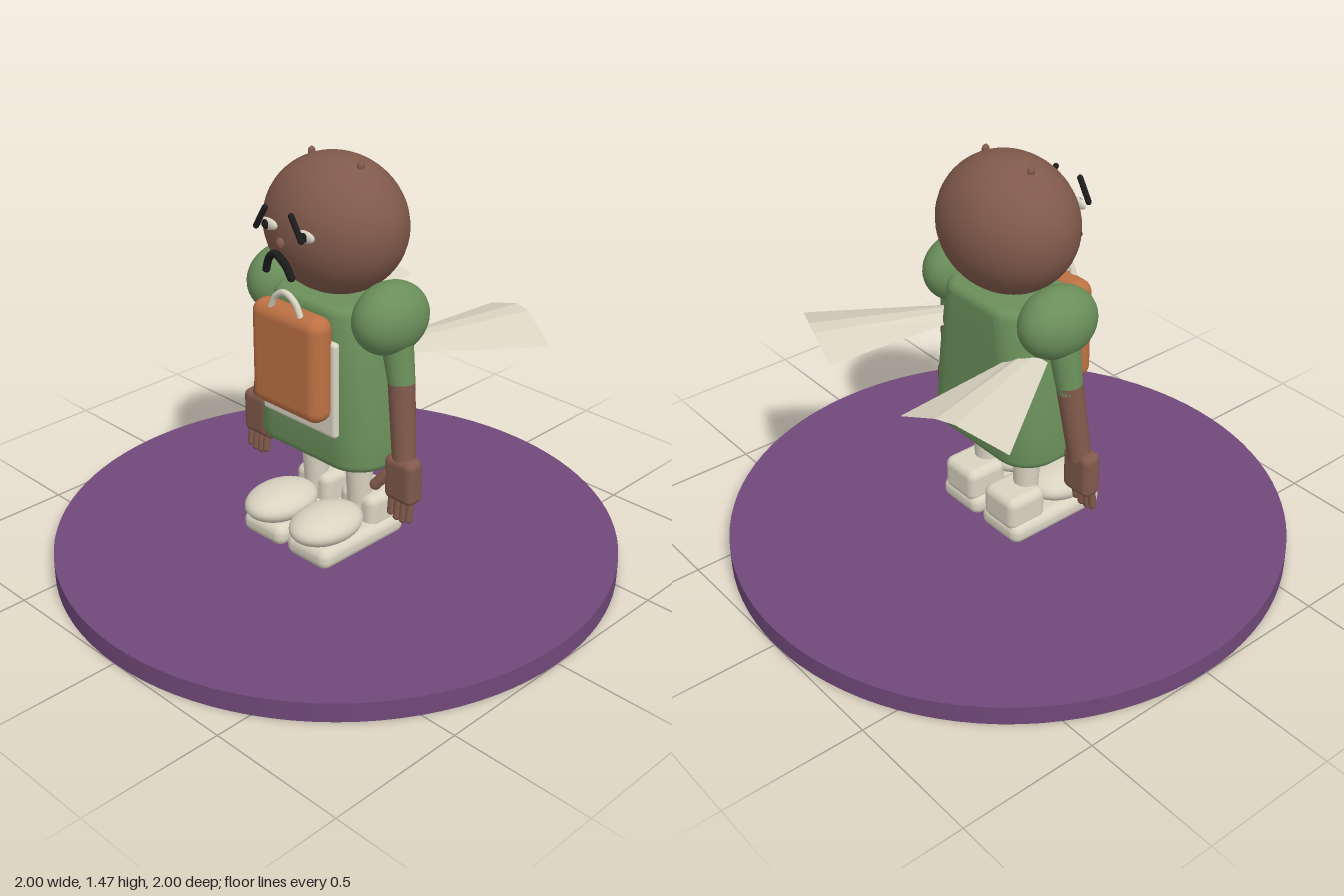
import * as THREE from 'three';
import { RoundedBoxGeometry } from 'three/addons/geometries/RoundedBoxGeometry.js';
import { toCreasedNormals } from 'three/addons/utils/BufferGeometryUtils.js';

const mat = (name, color, side = THREE.FrontSide) => {
  const m = new THREE.MeshStandardMaterial({ color, side });
  m.name = name;
  return m;
};

export function createModel() {
  const model = new THREE.Group();
  model.name = 'winged figure on stand';
  const brown = mat('brown skin', 0x80594b);
  const green = mat('green cloth', 0x6a8f5a);
  const cream = mat('cream', 0xd9d3c1, THREE.DoubleSide);
  const orange = mat('orange bag', 0xbd7143);
  const black = mat('black', 0x1c1b1d);
  const purple = mat('purple stand', 0x704879);

  const V = (x, y, z) => new THREE.Vector3(x, y, z);
  const add = (name, geo, material, x = 0, y = 0, z = 0) => {
    const m = new THREE.Mesh(geo, material);
    m.name = name;
    m.position.set(x, y, z);
    model.add(m);
    return m;
  };
  const ball = (name, material, x, y, z, rx, ry, rz) => {
    const m = add(name, new THREE.SphereGeometry(1, 40, 28), material, x, y, z);
    m.scale.set(rx, ry, rz);
    return m;
  };
  const box = (name, material, x, y, z, w, h, d, r) =>
    add(name, new RoundedBoxGeometry(w, h, d, 5, r), material, x, y, z);
  // tapered limb between two points
  const limb = (name, material, a, b, ra, rb) => {
    const dir = b.clone().sub(a);
    const mid = a.clone().add(b).multiplyScalar(0.5);
    const m = add(name, new THREE.CylinderGeometry(rb, ra, dir.length(), 24), material, mid.x, mid.y, mid.z);
    m.quaternion.setFromUnitVectors(V(0, 1, 0), dir.normalize());
    return m;
  };
  const capsule = (name, material, a, b, r) => {
    const dir = b.clone().sub(a);
    const mid = a.clone().add(b).multiplyScalar(0.5);
    const m = add(name, new THREE.CapsuleGeometry(r, dir.length(), 6, 14), material, mid.x, mid.y, mid.z);
    m.quaternion.setFromUnitVectors(V(0, 1, 0), dir.normalize());
    return m;
  };
  const tube = (name, material, points, r) =>
    add(name, new THREE.TubeGeometry(new THREE.CatmullRomCurve3(points), 28, r, 10), material);

  // Stand
  add('stand', new THREE.CylinderGeometry(1, 1, 0.07, 96), purple, 0, 0.035, 0);

  // Tunic: rounded plan raised with soft rims, narrowing upward
  const w = 0.245, d = 0.135, r = 0.1;
  const plan = new THREE.Shape();
  plan.absarc(w - r, d - r, r, 0, Math.PI / 2);
  plan.absarc(r - w, d - r, r, Math.PI / 2, Math.PI);
  plan.absarc(r - w, r - d, r, Math.PI, Math.PI * 1.5);
  plan.absarc(w - r, r - d, r, Math.PI * 1.5, Math.PI * 2);
  let tunic = new THREE.ExtrudeGeometry(plan, {
    depth: 0.52, bevelSize: 0.03, bevelThickness: 0.03, bevelSegments: 5, curveSegments: 10, steps: 6,
  });
  tunic.rotateX(-Math.PI / 2);
  tunic.translate(0, 0.46, 0);
  const p = tunic.attributes.position;
  for (let i = 0; i < p.count; i++) {
    const t = THREE.MathUtils.clamp((p.getY(i) - 0.46) / 0.55, 0, 1);
    p.setX(i, p.getX(i) * (1 - 0.1 * t - 0.2 * t * t));
    p.setZ(i, p.getZ(i) * (1 - 0.06 * t));
  }
  tunic = toCreasedNormals(tunic, 0.7);
  add('tunic', tunic, green);

  // Head and face
  ball('head', brown, 0, 1.235, 0, 0.26, 0.235, 0.222);
  ball('nose', brown, 0, 1.227, 0.25, 0.015, 0.02, 0.013);
  tube('mouth', black, [V(-0.058, 1.128, 0.258), V(-0.035, 1.175, 0.266), V(0, 1.198, 0.271),
    V(0.035, 1.175, 0.266), V(0.058, 1.128, 0.258)], 0.013);
  for (const s of [-1, 1]) for (const x of [0.058]) ball('mouthEnd', black, s * x, 1.128, 0.258, 0.013, 0.013, 0.013);

  // Apron and bag
  box('apron', cream, 0, 0.733, 0.167, 0.35, 0.346, 0.03, 0.014);
  box('bag', orange, 0, 0.808, 0.205, 0.32, 0.375, 0.1, 0.045);
  tube('bagHandle', cream, [V(-0.07, 0.985, 0.23), V(-0.045, 1.03, 0.231), V(0, 1.053, 0.232),
    V(0.045, 1.03, 0.231), V(0.07, 0.985, 0.23)], 0.011);

  for (const s of [1, -1]) {
    const side = s > 0 ? 'left' : 'right';
    const n = (part) => side + part;

    // Eye, pupil, brow and small bump on the crown
    ball(n('Eye'), cream, s * 0.085, 1.265, 0.222, 0.042, 0.02, 0.012);
    ball(n('Pupil'), black, s * 0.088, 1.265, 0.232, 0.016, 0.016, 0.006);
    capsule(n('Brow'), black, V(s * 0.06, 1.335, 0.257), V(s * 0.104, 1.263, 0.257), 0.01);
    ball(n('CrownBump'), brown, s * 0.112, 1.45, 0, 0.011, 0.018, 0.014);

    // Arm
    ball(n('PuffSleeve'), green, s * 0.25, 0.972, 0, 0.108, 0.123, 0.147);
    limb(n('Sleeve'), green, V(s * 0.275, 0.93, 0), V(s * 0.312, 0.735, 0.005), 0.056, 0.044);
    limb(n('Forearm'), brown, V(s * 0.308, 0.76, 0.005), V(s * 0.345, 0.48, 0.025), 0.046, 0.04);

    // Hand
    box(n('Hand'), brown, s * 0.349, 0.428, 0.032, 0.125, 0.165, 0.074, 0.026);
    for (let i = 0; i < 4; i++) {
      const x = s * (0.31 + i * 0.027);
      const tip = i === 0 || i === 3 ? 0.294 : 0.284;
      capsule(n('Finger'), brown, V(x, 0.37, 0.04), V(x, tip, 0.048), 0.0135);
    }
    capsule(n('Thumb'), brown, V(s * 0.295, 0.435, 0.05), V(s * 0.258, 0.385, 0.07), 0.02);

    // Leg and shoe
    limb(n('Leg'), cream, V(s * 0.108, 0.38, -0.005), V(s * 0.108, 0.5, 0), 0.052, 0.057);
    limb(n('Sock'), cream, V(s * 0.108, 0.2, -0.01), V(s * 0.108, 0.385, -0.005), 0.042, 0.049);
    box(n('Sole'), cream, s * 0.11, 0.13, 0.062, 0.2, 0.08, 0.405, 0.035);
    box(n('ShoeHeel'), cream, s * 0.11, 0.205, -0.062, 0.165, 0.13, 0.16, 0.032);
    ball(n('ShoeToe'), cream, s * 0.112, 0.21, 0.16, 0.108, 0.06, 0.145);

    // Wing: folded fan from the back
    const root = [[0.15, 0.835, -0.08], [0.18, 0.852, -0.07], [0.21, 0.852, -0.06], [0.25, 0.832, -0.04]];
    const tip = [[0.192, 0.83, -0.592], [0.33, 0.877, -0.56], [0.395, 0.877, -0.535], [0.555, 0.818, -0.456]];
    const verts = [];
    for (let i = 0; i < 3; i++) {
      const tri = [root[i], root[i + 1], tip[i + 1], root[i], tip[i + 1], tip[i]];
      if (s < 0) tri.reverse();
      for (const [x, y, z] of tri) verts.push(s * x, y, z);
    }
    const wing = new THREE.BufferGeometry();
    wing.setAttribute('position', new THREE.Float32BufferAttribute(verts, 3));
    wing.computeVertexNormals();
    add(n('Wing'), wing, cream);
  }
  return model;
}
